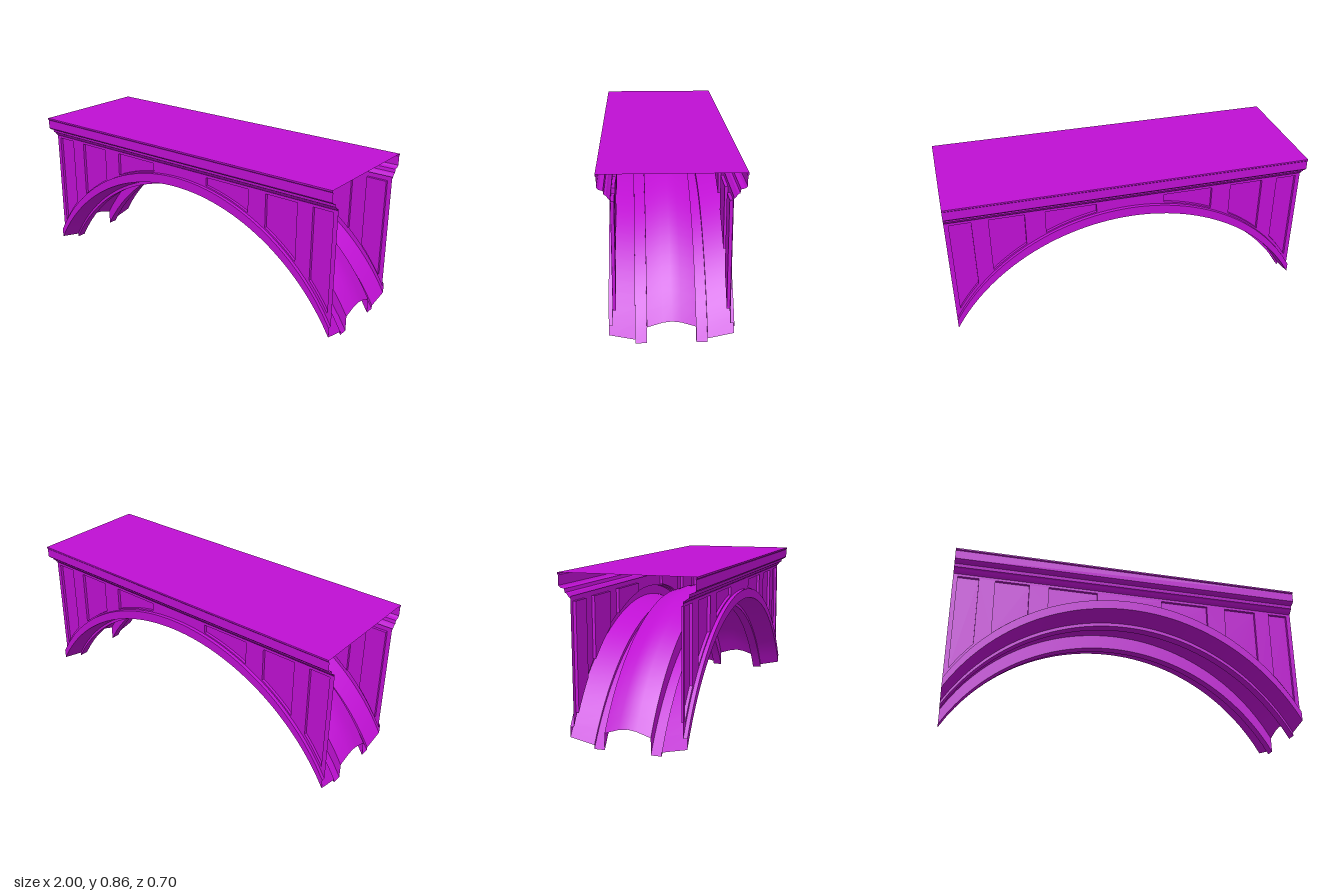
import * as THREE from 'three';
import { toCreasedNormals } from 'three/addons/utils/BufferGeometryUtils.js';

const SEG = 48;
const RADIUS = 1.152, CROWN = 0.58;
const WALL_Z = 0.283, RECESS_Z = 0.267, WALL_TOP = 0.745, PANEL_TOP = 0.72;

const material = new THREE.MeshStandardMaterial({ color: 0xc010d4, side: THREE.DoubleSide });

// Height of the lowest arch curve at x
const arch = (x) => Math.max(0, CROWN - RADIUS + Math.sqrt(RADIUS * RADIUS - x * x));

// Open sheet through equal-length rows of [x, y, z] points
function loft(rows) {
  const n = rows[0].length, index = [];
  for (let i = 0; i < rows.length - 1; i++) {
    for (let j = 0; j < n - 1; j++) {
      const a = i * n + j, b = a + n;
      index.push(a, a + 1, b, a + 1, b + 1, b);
    }
  }
  const g = new THREE.BufferGeometry();
  g.setAttribute('position', new THREE.Float32BufferAttribute(rows.flat(2), 3));
  g.setIndex(index);
  return toCreasedNormals(g, 0.5);
}

function add(parent, name, geometry) {
  const mesh = new THREE.Mesh(geometry, material);
  mesh.name = name;
  parent.add(mesh);
  return mesh;
}

// Points along the arch between two x values, raised by h
function archPoints(x0, x1, h, n) {
  return Array.from({ length: n + 1 }, (_, i) => {
    const x = x0 + ((x1 - x0) * i) / n;
    return new THREE.Vector2(x, arch(x) + h);
  });
}

// Panel outline: flat top, straight sides, bottom following the arch
function panelOutline(x0, x1, h) {
  return [
    ...archPoints(x0, x1, h, 8),
    new THREE.Vector2(x1, PANEL_TOP),
    new THREE.Vector2(x0, PANEL_TOP),
  ];
}

// Mirror a half profile of [z, value] to the other side, skipping the centre point
const mirrored = (half) => [...half, ...half.filter(([z]) => z > 0).reverse().map(([z, v]) => [-z, v])];

// One pierced spandrel wall with its sunken panels
function spandrel() {
  const group = new THREE.Group();
  const wall = new THREE.Shape([
    ...archPoints(-1, 1, 0.1, SEG),
    new THREE.Vector2(1, WALL_TOP),
    new THREE.Vector2(-1, WALL_TOP),
  ]);
  const panels = [[0.19, 0.47, 0.108], [0.58, 0.77, 0.11], [0.86, 0.975, 0.125]];
  for (const [a, b, h] of panels) {
    for (const [x0, x1] of [[a, b], [-b, -a]]) {
      const outline = panelOutline(x0, x1, h);
      wall.holes.push(new THREE.Path(outline));
      add(group, 'recessPanel', new THREE.ShapeGeometry(new THREE.Shape(outline))).position.z = RECESS_Z;
      const loop = [...outline, outline[0]];
      add(group, 'recessEdge', loft([RECESS_Z, WALL_Z].map((z) => loop.map((p) => [p.x, p.y, z]))));
    }
  }
  add(group, 'spandrelWall', new THREE.ShapeGeometry(wall)).position.z = WALL_Z;
  return group;
}

export function createModel() {
  const model = new THREE.Group();
  model.name = 'archBridge';

  // Arch: face bands, two low ribs and a raised central vault
  const archHalf = [
    [WALL_Z, 0.1], [0.303, 0.1], [0.303, 0.047], [0.175, 0.02], [0.175, 0],
    [0.12, 0], [0.12, 0.085], [0.045, 0.109], [0, 0.115],
  ];
  const section = mirrored(archHalf);
  const archRows = Array.from({ length: SEG + 1 }, (_, i) => {
    const x = -1 + (2 * i) / SEG;
    return section.map(([z, h]) => [x, arch(x) + h, z]);
  });
  add(model, 'archVault', loft(archRows));

  // Deck with stepped cornice on both long edges
  const deckHalf = [
    [WALL_Z, 0.735], [0.292, 0.742], [0.302, 0.757], [0.312, 0.762], [0.315, 0.78],
    [0.335, 0.785], [0.345, 0.795], [0.345, 0.845], [0.35, 0.85], [0.35, 0.858],
  ];
  const deck = mirrored(deckHalf);
  add(model, 'deck', loft([1, -1].map((x) => deck.map(([z, y]) => [x, y, z]))));

  // Front and back spandrels
  for (const [name, turn] of [['frontSpandrel', 0], ['backSpandrel', Math.PI]]) {
    const side = spandrel();
    side.name = name;
    side.rotation.y = turn;
    model.add(side);
  }
  return model;
}
